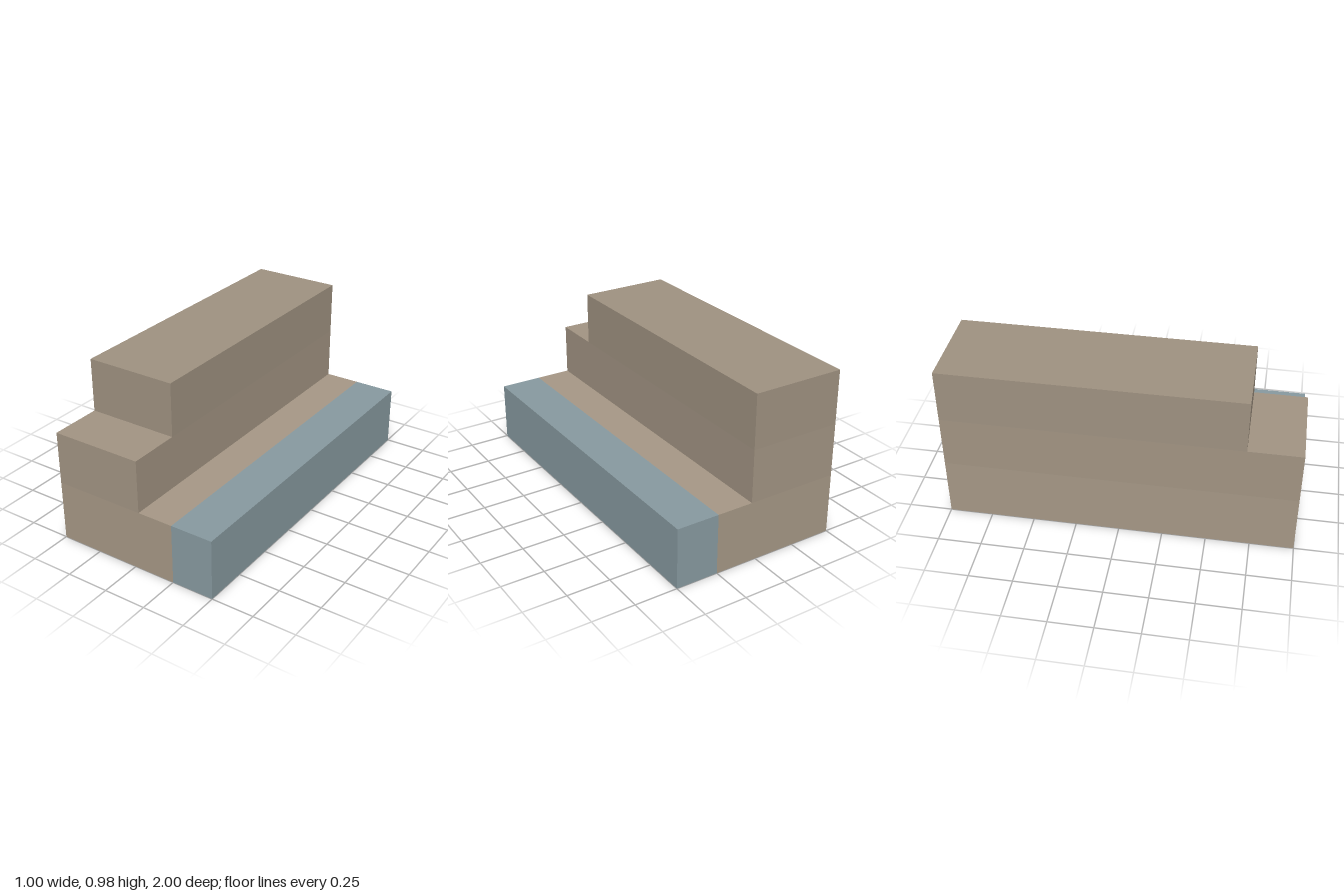
import * as THREE from 'three';

// Box given by its minimum and maximum corners
function block(name, color, [x0, y0, z0], [x1, y1, z1]) {
  const geometry = new THREE.BoxGeometry(x1 - x0, y1 - y0, z1 - z0);
  const mesh = new THREE.Mesh(geometry, new THREE.MeshStandardMaterial({ color }));
  mesh.position.set((x0 + x1) / 2, (y0 + y1) / 2, (z0 + z1) / 2);
  mesh.name = name;
  return mesh;
}

export function createModel() {
  const group = new THREE.Group();
  group.name = 'steppedBuilding';
  const low = 0.356, mid = 0.666, top = 0.98; // storey heights
  const wall = 0.038; // side wall of the upper storeys

  group.add(
    // Ground level: wide hall with a blue strip along its side
    block('groundFloor', 0xa59785, [-0.5, 0, -1], [0.25, low, 1]),
    block('sideWing', 0x87999f, [0.25, 0, -1], [0.5, low, 1]),
    // Narrower middle storey, full length
    block('middleFloor', 0xa19382, [-0.5, low, -1], [wall, mid, 1]),
    // Upper storey, set back at the front
    block('upperFloor', 0x9e9180, [-0.5, mid, -1], [wall, top, 0.695]),
  );
  return group;
}
